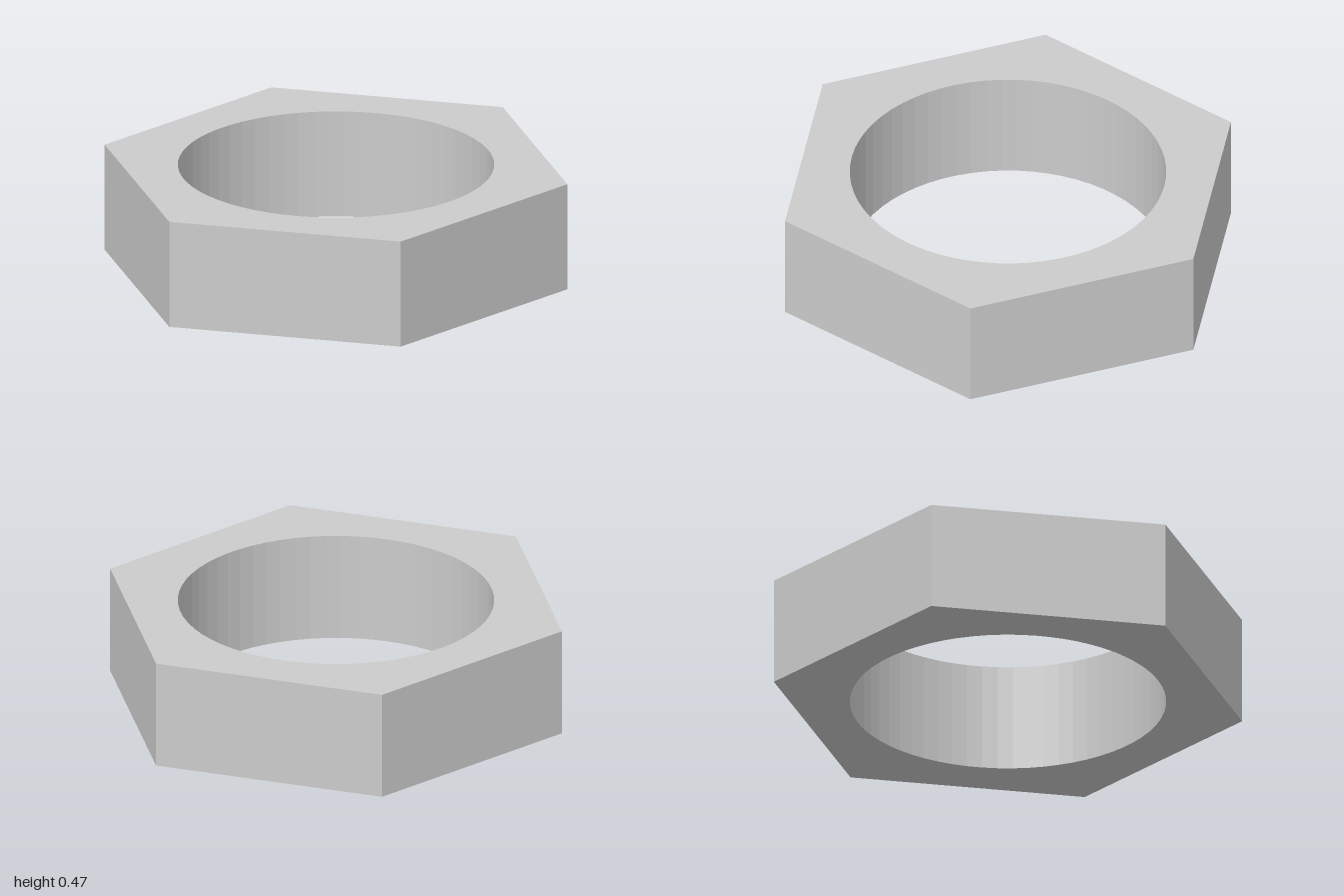
import * as THREE from 'three';

const HEIGHT = 0.467;
const HOLE_RADIUS = 0.663;

export function createModel() {
  const group = new THREE.Group();
  group.name = 'hexNut';

  // Hexagonal outline with corners on +x and -x
  const corners = [];
  for (let i = 0; i < 6; i++) {
    const a = (i * Math.PI) / 3;
    corners.push(new THREE.Vector2(Math.cos(a), Math.sin(a)));
  }
  const outline = new THREE.Shape(corners);

  // Round through-hole
  const hole = new THREE.Path();
  hole.absarc(0, 0, HOLE_RADIUS, 0, Math.PI * 2, true);
  outline.holes.push(hole);

  // Extrude upwards from the ground
  const geometry = new THREE.ExtrudeGeometry(outline, {
    depth: HEIGHT,
    bevelEnabled: false,
    curveSegments: 32,
  });
  geometry.rotateX(-Math.PI / 2);

  const material = new THREE.MeshStandardMaterial({ color: 0xcccccc, flatShading: true });
  const body = new THREE.Mesh(geometry, material);
  body.name = 'nutBody';
  group.add(body);
  return group;
}
